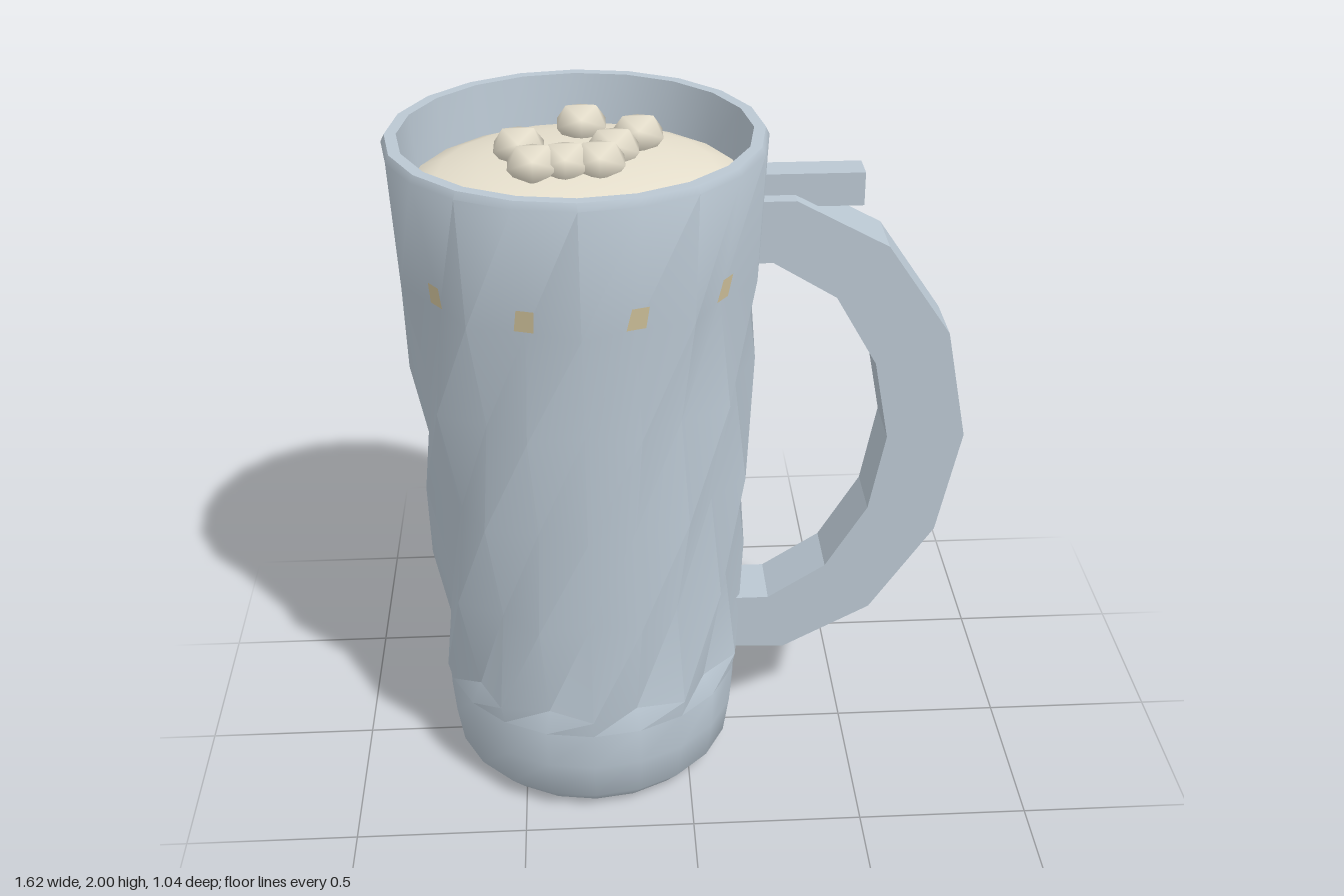
import * as THREE from 'three';
import { toCreasedNormals } from 'three/addons/utils/BufferGeometryUtils.js';

const AXIS_X = -0.29; // centre line of the mug body
const SIDES = 20;

// Twisted, fluted wall: rings of 20 points; ribs and dips swap on every fluted row
function bodyGeometry() {
  const rows = [
    [0, 0.001], [0, 0.37], [0.06, 0.425], [0.18, 0.443], [0.30, 0.447],
  ];
  for (let j = 0; j < 5; j++) {
    const t = j / 4;
    const rib = 0.46 + 0.045 * t;
    rows.push([0.36 + 1.26 * t, rib, rib - 0.047, j]);
  }
  rows.push([1.98, 0.52], [2, 0.51], [2, 0.478], [1.82, 0.462]);

  const pos = [], index = [];
  for (const [y, rib, dip = rib, shift = 0] of rows) {
    for (let i = 0; i < SIDES; i++) {
      const r = (i + shift) % 2 ? dip : rib;
      const a = (i / SIDES) * Math.PI * 2;
      pos.push(r * Math.sin(a), y, r * Math.cos(a));
    }
  }
  for (let j = 0; j < rows.length - 1; j++) {
    for (let i = 0; i < SIDES; i++) {
      const n = (i + 1) % SIDES;
      const a = j * SIDES + i, b = j * SIDES + n;
      const c = b + SIDES, d = a + SIDES;
      index.push(a, b, c, a, c, d);
    }
  }
  const g = new THREE.BufferGeometry();
  g.setAttribute('position', new THREE.Float32BufferAttribute(pos, 3));
  g.setIndex(index);
  return toCreasedNormals(g, 0.72);
}

// Flat shape from a list of points
const shapeOf = (pts) => new THREE.Shape(pts.map(([x, y]) => new THREE.Vector2(x, y)));

export function createModel() {
  const glass = new THREE.MeshStandardMaterial({ color: 0xbac7d2 });
  glass.name = 'glass';
  const cream = new THREE.MeshStandardMaterial({ color: 0xece5d2 });
  cream.name = 'foam cream';
  const amber = new THREE.MeshStandardMaterial({ color: 0xd6c8a0 });
  amber.name = 'pale amber';

  const model = new THREE.Group();
  model.name = 'mug';
  const add = (name, geometry, material, parent = model) => {
    const mesh = new THREE.Mesh(geometry, material);
    mesh.name = name;
    parent.add(mesh);
    return mesh;
  };

  const vessel = new THREE.Group();
  vessel.name = 'vessel';
  vessel.position.x = AXIS_X;
  model.add(vessel);
  add('body', bodyGeometry(), glass, vessel);

  // Domed foam
  const dome = [[0.463, 1.83], [0.455, 1.855], [0.38, 1.885], [0.27, 1.91], [0.14, 1.925], [0, 1.93]]
    .map(([r, y]) => new THREE.Vector2(r, y));
  add('foam', new THREE.LatheGeometry(dome, SIDES), cream, vessel);

  // Bubbles: smooth, squashed low-poly balls
  const ball = new THREE.IcosahedronGeometry(0.08, 0);
  ball.setAttribute('normal', ball.getAttribute('position').clone());
  ball.normalizeNormals();
  const spots = [
    [-0.275, -0.21], [-0.12, -0.115], [-0.19, -0.01], [-0.445, -0.035],
    [-0.405, 0.1], [-0.32, 0.09], [-0.23, 0.085],
  ];
  for (const [x, z] of spots) {
    const bubble = add('bubble', ball, cream);
    bubble.position.set(x, 1.945, z);
    bubble.scale.y = 0.75;
  }

  // Small pale windows at the head of each flute
  const pane = new THREE.ShapeGeometry(
    shapeOf([[-0.03, -0.033], [0.024, -0.033], [0.03, 0.033], [-0.018, 0.033]]));
  for (let k = 0; k < 10; k++) {
    const a = ((2 * k + 1) / SIDES) * Math.PI * 2;
    const window = add('fluteWindow', pane, amber, vessel);
    window.position.set(0.473 * Math.sin(a), 1.655, 0.473 * Math.cos(a));
    window.rotation.set(0.18, a, 0, 'YXZ');
  }

  // Faceted C-shaped handle
  const outline = [
    [0.185, 1.82], [0.30, 1.82], [0.56, 1.68], [0.745, 1.41], [0.81, 1.08],
    [0.745, 0.76], [0.56, 0.485], [0.30, 0.345], [0.12, 0.352],
    [0.13, 0.53], [0.25, 0.53], [0.42, 0.64], [0.54, 0.84], [0.585, 1.08],
    [0.54, 1.32], [0.42, 1.53], [0.24, 1.64], [0.175, 1.64],
  ];
  const handle = new THREE.ExtrudeGeometry(shapeOf(outline), { depth: 0.18, bevelEnabled: false });
  handle.translate(0, 0, -0.09);
  add('handle', handle, glass);

  // Thumb rest above the handle
  add('thumbRest', new THREE.BoxGeometry(0.28, 0.095, 0.09), glass).position.set(0.35, 1.833, 0);

  return model;
}
